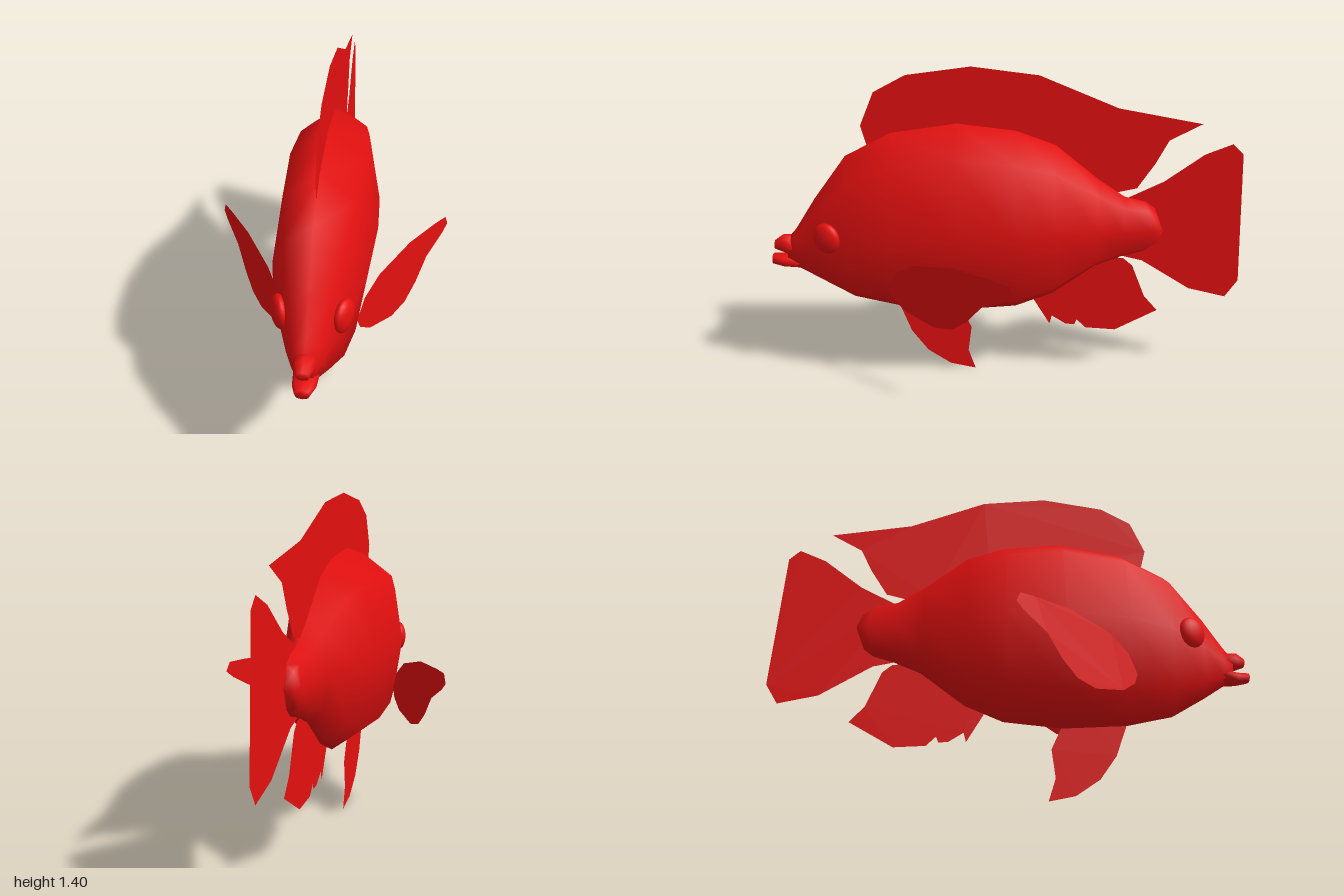
import * as THREE from 'three';

const red = new THREE.MeshStandardMaterial({ color: 0xe61010 });
const finRed = new THREE.MeshStandardMaterial({ color: 0xe61010, side: THREE.DoubleSide });

function part(name, geometry, material) {
  const mesh = new THREE.Mesh(geometry, material);
  mesh.name = name;
  return mesh;
}

// Closed eight-sided loft; rings run front to back as [z, top, bottom, halfWidth, bulge].
function loft(rings, sides = 8) {
  const pos = [], index = [];
  for (const [z, top, bottom, w, bulge = 0] of rings) {
    const mid = (top + bottom) / 2, h = (top - bottom) / 2;
    for (let j = 0; j < sides; j++) {
      const a = (j / sides) * Math.PI * 2;
      const k = j % 2 ? 1.05 : 1;
      pos.push(w * k * Math.cos(a), mid + h * k * Math.sin(a), z - bulge * (1 - Math.abs(Math.sin(a))));
    }
  }
  const last = (rings.length - 1) * sides;
  for (let i = 0; i < last; i += sides) {
    for (let j = 0; j < sides; j++) {
      const a = i + j, b = i + (j + 1) % sides;
      index.push(a, a + sides, b, b, a + sides, b + sides);
    }
  }
  // End caps
  const front = pos.length / 3, back = front + 1;
  const [f, r] = [rings[0], rings[rings.length - 1]];
  pos.push(0, (f[1] + f[2]) / 2, f[0], 0, (r[1] + r[2]) / 2, r[0] - (r[4] || 0));
  for (let j = 0; j < sides; j++) {
    const n = (j + 1) % sides;
    index.push(front, j, n, back, last + n, last + j);
  }
  const g = new THREE.BufferGeometry();
  g.setAttribute('position', new THREE.Float32BufferAttribute(pos, 3));
  g.setIndex(index);
  g.computeVertexNormals();
  return g;
}

function outline(points) {
  return new THREE.ShapeGeometry(new THREE.Shape(points.map(([u, v]) => new THREE.Vector2(u, v))));
}

// Thin fin on the centre plane, outlined as [z, y].
const centreFin = (name, points) => part(name, outline(points).rotateY(-Math.PI / 2), finRed);

export function createModel() {
  const fish = new THREE.Group();
  fish.name = 'fish';

  fish.add(part('body', loft([
    [0.93, 0.655, 0.55, 0.035],
    [0.89, 0.70, 0.52, 0.055],
    [0.80, 0.84, 0.46, 0.095],
    [0.66, 1.03, 0.375, 0.15],
    [0.47, 1.13, 0.33, 0.185],
    [0.20, 1.17, 0.31, 0.20],
    [-0.04, 1.14, 0.33, 0.19],
    [-0.20, 1.08, 0.395, 0.16],
    [-0.38, 0.93, 0.53, 0.092],
    [-0.49, 0.853, 0.575, 0.064],
    [-0.58, 0.83, 0.60, 0.052, 0.03],
    [-0.62, 0.80, 0.63, 0.042, 0.033],
  ]), red));

  // Lips
  fish.add(part('upperLip', loft([
    [0.985, 0.645, 0.61, 0.025],
    [0.95, 0.672, 0.595, 0.038],
    [0.89, 0.67, 0.57, 0.046],
  ]), red));
  fish.add(part('lowerLip', loft([
    [1.0, 0.58, 0.54, 0.028],
    [0.95, 0.578, 0.53, 0.043],
    [0.88, 0.59, 0.525, 0.048],
  ]), red));

  // Fins on the centre line
  fish.add(centreFin('dorsalFin', [
    [0.57, 1.08], [0.59, 1.16], [0.53, 1.30], [0.40, 1.37], [0.14, 1.405], [-0.13, 1.37],
    [-0.45, 1.235], [-0.79, 1.17], [-0.66, 1.10], [-0.61, 1.0], [-0.54, 0.89],
    [-0.46, 0.872], [-0.35, 0.88], [-0.1, 1.0], [0.2, 1.05],
  ]));
  fish.add(centreFin('tailFin', [
    [-0.50, 0.845], [-0.65, 0.92], [-0.81, 1.04], [-0.92, 1.085], [-0.965, 1.04],
    [-1.0, 0.46], [-0.95, 0.38], [-0.79, 0.42], [-0.58, 0.555], [-0.48, 0.58],
  ]));
  fish.add(centreFin('analFin', [
    [-0.12, 0.36], [-0.19, 0.24], [-0.20, 0.28], [-0.26, 0.24], [-0.30, 0.235], [-0.31, 0.26],
    [-0.35, 0.22], [-0.48, 0.21], [-0.66, 0.31], [-0.60, 0.38], [-0.54, 0.53], [-0.50, 0.565],
    [-0.35, 0.58], [-0.15, 0.45],
  ]));
  fish.add(centreFin('pelvicFin', [
    [0.47, 0.34], [0.42, 0.20], [0.35, 0.10], [0.25, 0.03], [0.14, 0.005],
    [0.17, 0.10], [0.155, 0.22], [0.20, 0.32], [0.32, 0.36],
  ]));

  // Pectoral fin outlined as [x, y], then swept back by its distance from the body
  const pectoral = outline([
    [0.145, 0.50], [0.155, 0.455], [0.19, 0.41], [0.27, 0.38], [0.32, 0.40], [0.36, 0.46],
    [0.40, 0.55], [0.46, 0.61], [0.48, 0.64], [0.47, 0.68], [0.43, 0.685], [0.33, 0.685],
    [0.22, 0.64], [0.17, 0.58],
  ]);
  const p = pectoral.attributes.position;
  for (let i = 0; i < p.count; i++) p.setZ(i, 0.43 - (p.getX(i) - 0.185) * 1.56);
  pectoral.computeVertexNormals();

  // Paired parts
  for (const [side, s] of [['left', 1], ['right', -1]]) {
    const fin = part(side + 'PectoralFin', pectoral, finRed);
    fin.scale.x = s;
    const eye = part(side + 'Eye', new THREE.SphereGeometry(1, 16, 12), red);
    eye.scale.set(0.03, 0.067, 0.062);
    eye.position.set(s * 0.116, 0.71, 0.74);
    eye.rotation.y = -s * 0.4;
    fish.add(fin, eye);
  }
  return fish;
}
